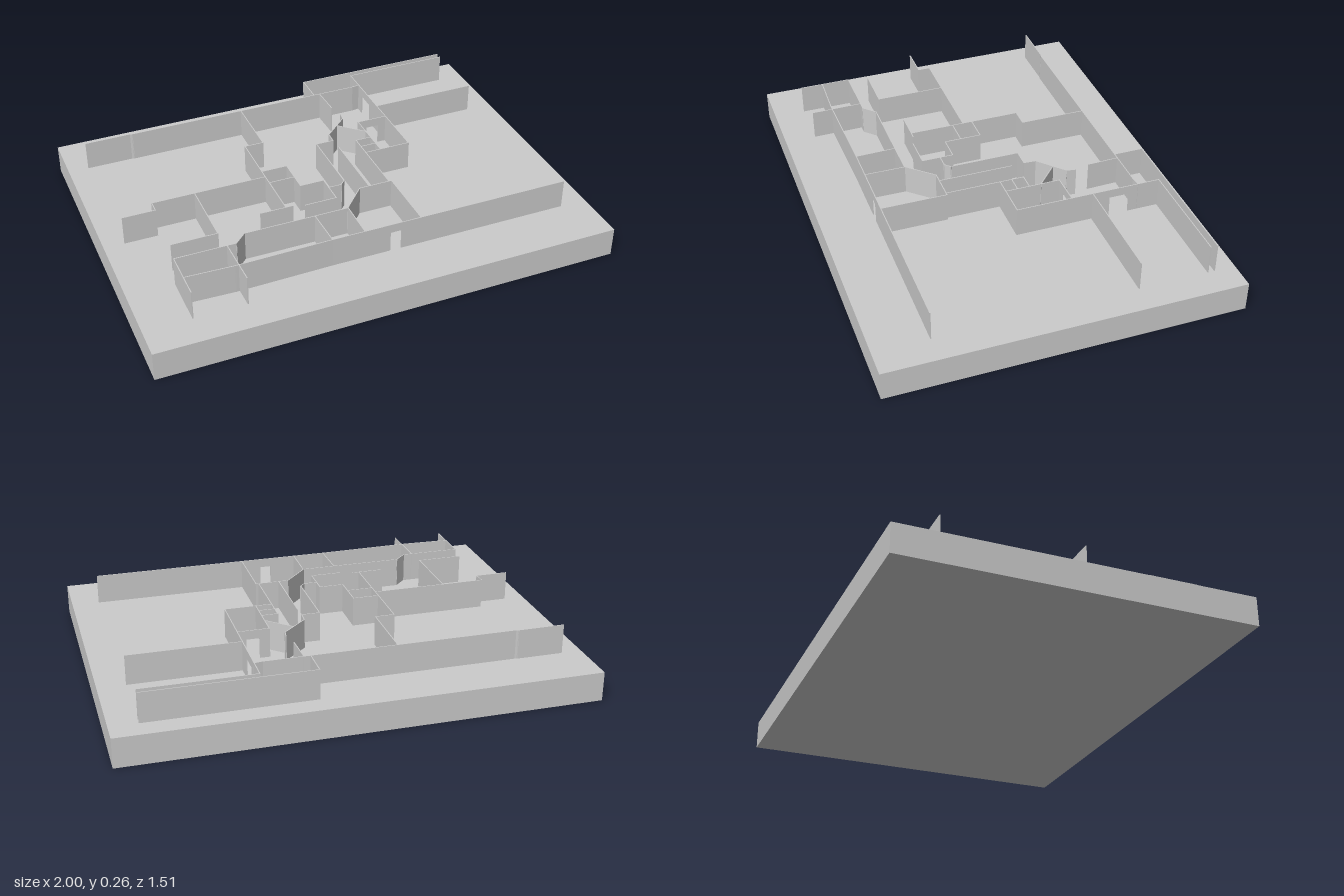
import * as THREE from 'three';

const BASE = 0.127, WALL = 0.129, DOOR = 0.09, THICK = 0.004;

export function createModel() {
  const model = new THREE.Group();
  const mat = new THREE.MeshStandardMaterial({ color: 0xcccccc, flatShading: true });

  // ground slab
  const slab = new THREE.Mesh(new THREE.BoxGeometry(2, BASE, 1.51), mat);
  slab.name = 'baseSlab';
  slab.position.y = BASE / 2;
  model.add(slab);

  // one straight upright panel from a to b, between two heights above the slab
  function panel(group, a, b, low = 0, high = WALL) {
    const dx = b[0] - a[0], dz = b[1] - a[1];
    const m = new THREE.Mesh(new THREE.BoxGeometry(Math.hypot(dx, dz) + THICK, high - low, THICK), mat);
    m.name = low > 0 ? 'doorLintel' : 'wallPanel';
    m.position.set((a[0] + b[0]) / 2, BASE + (low + high) / 2, (a[1] + b[1]) / 2);
    m.rotation.y = -Math.atan2(dz, dx);
    group.add(m);
  }

  // a wall following a path of [x, z] points
  function wall(name, ...pts) {
    const g = new THREE.Group();
    g.name = name;
    for (let i = 1; i < pts.length; i++) panel(g, pts[i - 1], pts[i]);
    model.add(g);
  }

  // a straight wall with a doorway between d0 and d1
  function doorWall(name, a, d0, d1, b) {
    const g = new THREE.Group();
    g.name = name;
    panel(g, a, d0);
    panel(g, d1, b);
    panel(g, d0, d1, DOOR, WALL);
    model.add(g);
  }

  // back walls
  wall('backWall', [-0.91, -0.538], [-0.71, -0.538], [-0.70, -0.535], [0.37, -0.535], [0.405, -0.54]);
  wall('rearCorridorWall', [0.175, -0.535], [0.175, -0.664], [0.88, -0.664]);
  wall('rearRightWall', [0.88, -0.635], [0.405, -0.635]);
  doorWall('rightRoomDoorWall', [0.405, -0.635], [0.405, -0.50], [0.405, -0.41], [0.405, -0.24]);
  wall('rightSideWall', [0.405, -0.335], [0.88, -0.335]);

  // small room on the right
  wall('rightRoomSide', [0.405, -0.24], [0.405, 0], [0.20, 0]);
  doorWall('rightRoomBack', [0.27, -0.24], [0.31, -0.24], [0.37, -0.24], [0.405, -0.24]);
  wall('rightRoomInner', [0.27, -0.24], [0.27, 0]);
  wall('closetBack', [0.20, -0.105], [0.27, -0.105]);
  wall('closetFront', [0.20, -0.052], [0.27, -0.052]);
  wall('diagonalPartition', [0.172, -0.248], [0.27, -0.157]);
  wall('longPartition', [0.20, -0.105], [0.20, 0.238]);
  wall('backStub', [0.203, -0.535], [0.207, -0.40]);

  // winding central walls
  wall('centralWall', [0.223, -0.333], [0.217, -0.295], [0.108, -0.195], [0.105, -0.143],
    [0.027, -0.143], [0.027, 0.16], [0.005, 0.183], [-0.052, 0.183], [-0.052, 0.126],
    [-0.157, 0.126], [-0.157, -0.035], [-0.27, -0.035]);
  wall('centralCross', [-0.27, 0.055], [-0.157, 0.055]);
  wall('centralHook', [-0.052, 0.183], [-0.052, 0.263], [-0.19, 0.263]);
  wall('innerPartition', [0.108, -0.085], [0.108, 0.238]);

  // left hall
  wall('hallWall', [-0.187, -0.535], [-0.187, -0.247], [-0.27, -0.247], [-0.27, 0.247]);
  wall('hallEnd', [-0.38, 0.247], [-0.24, 0.247]);
  wall('leftWall', [-0.91, 0.06], [-0.77, 0.06], [-0.77, 0.007], [-0.27, 0.007]);
  wall('leftRoomWall', [-0.585, 0.007], [-0.585, 0.307], [-0.78, 0.307]);

  // front corridor and rooms
  wall('frontRoomsBack', [0.212, 0.522], [0.212, 0.238], [0.065, 0.238], [-0.037, 0.348],
    [-0.487, 0.348], [-0.538, 0.397], [-0.797, 0.397], [-0.797, 0.618]);
  wall('frontDividerRight', [-0.035, 0.348], [-0.037, 0.522]);
  wall('frontDividerMiddle', [-0.182, 0.348], [-0.178, 0.522]);
  wall('frontDividerLeft', [-0.577, 0.397], [-0.573, 0.618]);
  wall('frontWallLeft', [-0.797, 0.522], [-0.59, 0.53], [-0.18, 0.522]);
  doorWall('frontWall', [-0.18, 0.522], [0.075, 0.522], [0.127, 0.522], [0.88, 0.522]);

  return model;
}
